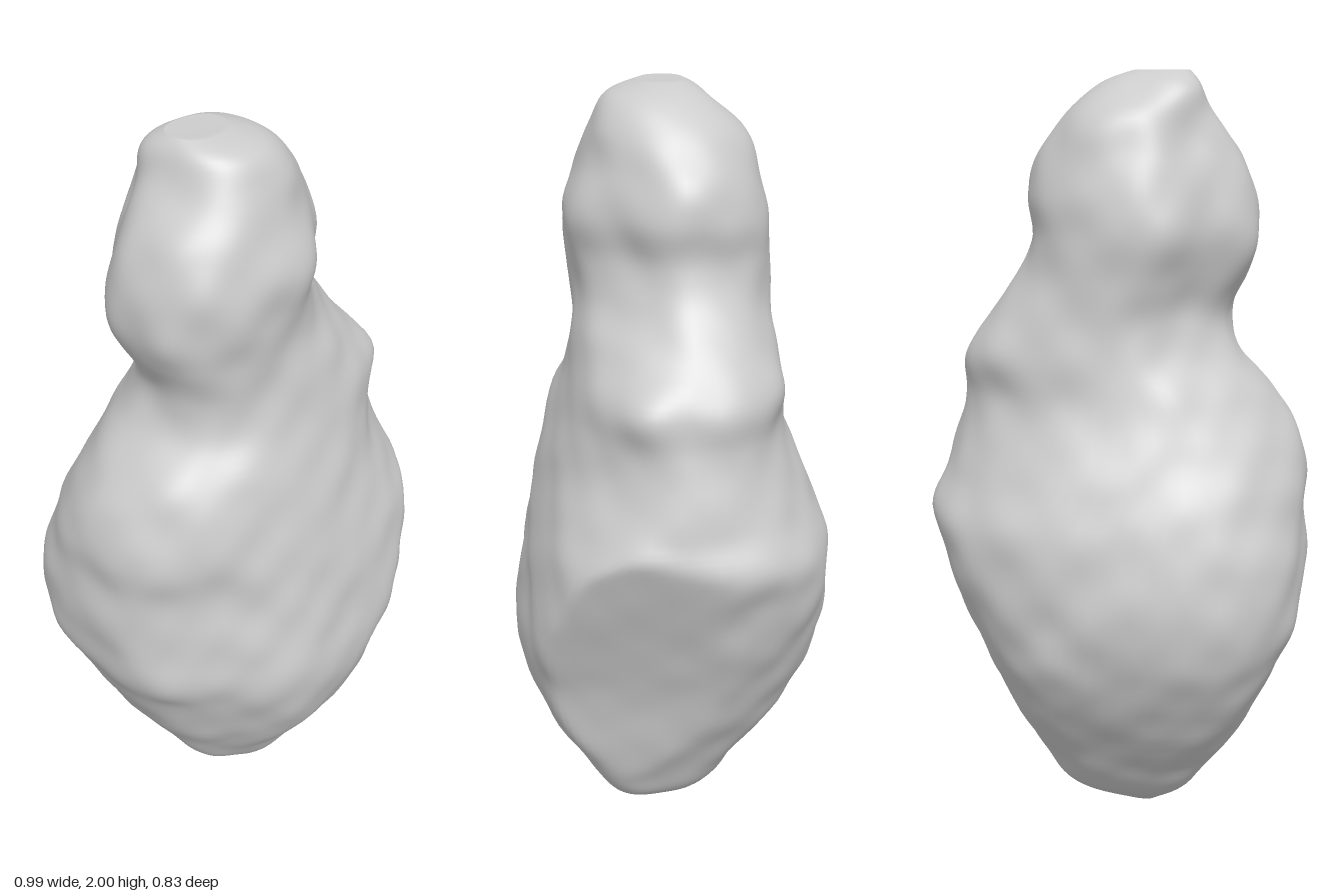
import * as THREE from 'three';

// Sections from the lower tip to the crown: y, xMin, xMax, zMin (back), zMax (front)
const SECTIONS = [
  [0.0, -0.08, -0.06, 0.06, 0.08], [0.03, -0.11, 0.0, 0.0, 0.13],
  [0.1, -0.2, 0.15, -0.1, 0.2], [0.2, -0.27, 0.21, -0.18, 0.26],
  [0.35, -0.36, 0.29, -0.29, 0.35], [0.5, -0.43, 0.35, -0.37, 0.4],
  [0.6, -0.475, 0.39, -0.4, 0.415], [0.7, -0.485, 0.43, -0.41, 0.405],
  [0.8, -0.49, 0.46, -0.4, 0.39], [0.9, -0.485, 0.49, -0.385, 0.37],
  [1.0, -0.49, 0.455, -0.35, 0.345], [1.1, -0.46, 0.43, -0.31, 0.32],
  [1.2, -0.4, 0.405, -0.275, 0.295], [1.3, -0.31, 0.4, -0.26, 0.27],
  [1.4, -0.28, 0.335, -0.25, 0.25], [1.5, -0.32, 0.26, -0.25, 0.235],
  [1.6, -0.345, 0.225, -0.26, 0.24], [1.7, -0.34, 0.235, -0.25, 0.245],
  [1.8, -0.3, 0.205, -0.22, 0.215], [1.9, -0.23, 0.13, -0.19, 0.185],
  [1.97, -0.195, 0.05, -0.12, 0.14], [2.0, -0.17, -0.03, -0.06, 0.05],
];

// Swelling of the four diagonal corners: +x+z, -x+z, -x-z, +x-z
const BODY_CORNERS = [0.07, -0.12, 0.05, 0.01];
const SHOULDER_CORNERS = [-0.01, 0, -0.07, -0.05];
const HEAD_CORNERS = [-0.12, 0.07, -0.18, 0.01];

// Flat broken faces: normal direction, limit of n.p, and how far the cut eases near the tip
const CUTS = [
  { n: new THREE.Vector3(1, -0.4, 0.37), limit: 0.13, ease: 0.06 },   // lower front, +x side
  { n: new THREE.Vector3(0.1, -0.675, -1), limit: 0.047, ease: 0 },   // lower back
];

// Local bumps and hollows: centre, radius, height
const BUMPS = [
  [-0.33, 1.57, 0.1, 0.07, 0.015],
  [0.3, 1.3, -0.18, 0.08, 0.015],
  [0.33, 1.28, 0.12, 0.07, 0.02],
  [0.32, 1.1, 0.2, 0.11, -0.025],
  [-0.19, 1.97, -0.08, 0.06, 0.02],
  [-0.05, 1.96, -0.15, 0.08, -0.02],
];

const smooth = (a, b, t) => THREE.MathUtils.smoothstep(t, a, b);

// Interpolate the section table at a fractional row
function sectionAt(u) {
  const last = SECTIONS.length - 1;
  const i = Math.min(Math.floor(u), last - 1), t = u - i;
  const row = (k) => SECTIONS[THREE.MathUtils.clamp(k, 0, last)];
  return row(i).map((b, c) => {
    const a = row(i - 1)[c], d = row(i + 1)[c], e = row(i + 2)[c];
    return b + 0.5 * t * (d - a + t * (2 * a - 5 * b + 4 * d - e + t * (3 * (b - d) + e - a)));
  });
}

// Gentle irregular relief
function relief({ x, y, z }) {
  return 0.006 * Math.sin(9 * x + 3 * z + 1) * Math.sin(10 * y + 0.5) * Math.sin(8 * z - 3 * x + 2)
    + 0.006 * Math.sin(17 * x - 6 * z) * Math.sin(19 * y + 4 * x + 1) * Math.sin(16 * z + 5 * x + 1)
    + 0.004 * Math.sin(29 * x + 11 * z + 2) * Math.sin(31 * y - 7 * z) * Math.sin(27 * z - 9 * x);
}

function surfacePoint(u, angle) {
  const [y, x0, x1, z0, z1] = sectionAt(u);
  const shoulder = smooth(0.8, 1.15, y), head = smooth(1.25, 1.5, y);
  const power = 2 / (2.4 - 0.25 * head);
  const c = Math.cos(angle), s = Math.sin(angle);
  const round = (v) => Math.sign(v) * Math.abs(v) ** power;

  // Uneven corners
  const q = Math.floor(angle / (Math.PI / 2)) % 4;
  const lower = THREE.MathUtils.lerp(BODY_CORNERS[q], SHOULDER_CORNERS[q], shoulder);
  const corner = THREE.MathUtils.lerp(lower, HEAD_CORNERS[q], head);
  const swell = 1 + corner * Math.sin(2 * angle) ** 2 * (1 - smooth(1.8, 1.97, y));
  const p = new THREE.Vector3(
    (x0 + x1) / 2 + swell * round(c) * (x1 - x0) / 2, y,
    (z0 + z1) / 2 + swell * round(s) * (z1 - z0) / 2);

  // Push out or in sideways, fading out at both ends
  let push = relief(p) * smooth(0, 0.2, y) * (1 - smooth(1.85, 2, y));
  for (const [bx, by, bz, r, h] of BUMPS) {
    const d2 = (p.x - bx) ** 2 + (p.y - by) ** 2 + (p.z - bz) ** 2;
    push += h * Math.exp(-d2 / (r * r));
  }
  p.x += c * push;
  p.z += s * push;

  // Flatten against the broken faces, leaving a trace of relief and a softened edge
  if (y < 1) {
    for (const { n, limit, ease } of CUTS) {
      const over = n.dot(p) - limit - ease * (1 - smooth(0.1, 0.55, y));
      const flatLength = n.x * n.x + n.z * n.z;
      const amount = 0.5 * (over + Math.hypot(over, 0.012)) - 0.003 - 0.4 * push;
      if (amount > 0) {
        const fade = smooth(0, 0.15, y) / flatLength;
        p.x -= n.x * amount * fade;
        p.z -= n.z * amount * fade;
      }
    }
  }
  return p;
}

function buildRock(rings, sides) {
  const positions = [], index = [];
  for (let i = 0; i <= rings; i++) {
    const u = (i / rings) * (SECTIONS.length - 1);
    for (let j = 0; j < sides; j++) {
      positions.push(...surfacePoint(u, (j / sides) * Math.PI * 2).toArray());
    }
  }
  for (let i = 0; i < rings; i++) {
    for (let j = 0; j < sides; j++) {
      const a = i * sides + j, b = i * sides + (j + 1) % sides;
      index.push(a, a + sides, b, b, a + sides, b + sides);
    }
  }
  // Close the tip and the crown
  const tip = positions.length / 3, crown = tip + 1, top = rings * sides;
  positions.push(-0.07, 0, 0.07, -0.1, 1.995, 0);
  for (let j = 0; j < sides; j++) {
    const k = (j + 1) % sides;
    index.push(tip, j, k, crown, top + k, top + j);
  }
  const geometry = new THREE.BufferGeometry();
  geometry.setAttribute('position', new THREE.Float32BufferAttribute(positions, 3));
  geometry.setIndex(index);
  geometry.computeVertexNormals();
  return geometry;
}

export function createModel() {
  const group = new THREE.Group();
  group.name = 'asteroid';
  const rock = new THREE.Mesh(buildRock(126, 96),
    new THREE.MeshStandardMaterial({ color: 0xcccccc }));
  rock.name = 'rockBody';
  group.add(rock);
  return group;
}
